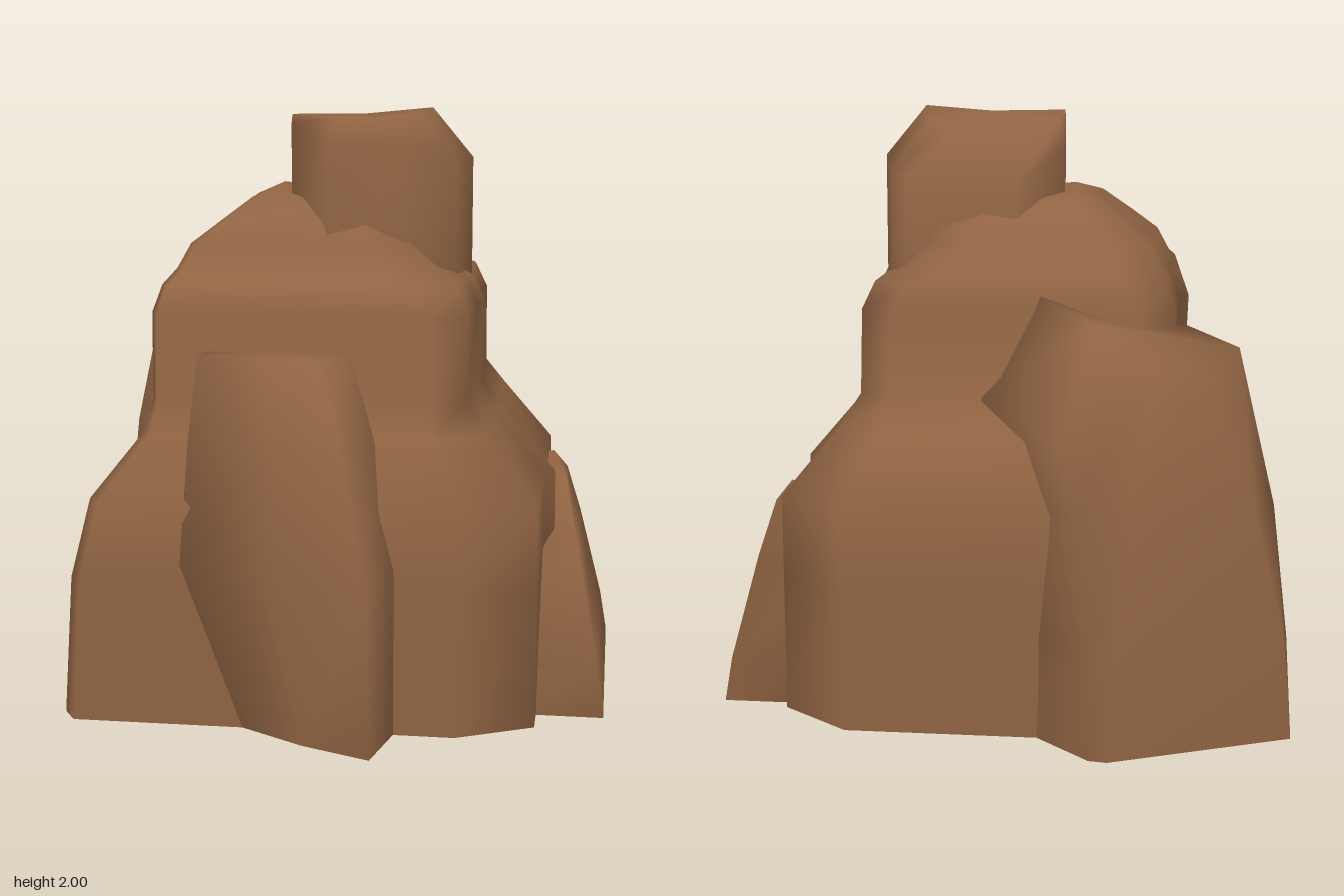
import * as THREE from 'three';

const rock = new THREE.MeshStandardMaterial({ color: 0x8f6342, side: THREE.DoubleSide });
rock.name = 'brown rock';

// Skin rings of [x, y, z] from bottom to top, closed by a fan to the peak; the base stays open
function loft(name, rings, peak) {
  const n = rings[0].length;
  const index = [];
  for (let r = 0; r < rings.length - 1; r++) {
    for (let i = 0; i < n; i++) {
      const j = (i + 1) % n;
      const a = r * n + i, b = r * n + j;
      index.push(a, b, b + n, a, b + n, a + n);
    }
  }
  const last = (rings.length - 1) * n;
  for (let i = 0; i < n; i++) index.push(last + i, last + (i + 1) % n, rings.length * n);

  const geo = new THREE.BufferGeometry();
  geo.setAttribute('position', new THREE.Float32BufferAttribute([...rings.flat(2), ...peak], 3));
  geo.setIndex(index);
  geo.computeVertexNormals();
  const mesh = new THREE.Mesh(geo, rock);
  mesh.name = name;
  return mesh;
}

const level = (y, points) => points.map(([x, z]) => [x, y, z]);

// Main mass: a chamfered outline stretched to the bounds of each level
function mainRock() {
  const outline = (k) => [
    [1 - 0.16 * k, 1], [1, 1 - 0.09 * k], [1, 0.58], [1.025, 0.53], [1, 0.47], [1, 0.125 * k],
    [1 - 0.15 * k, 0], [0.15 * k, 0], [0, 0.125 * k], [0, 0.46], [-0.03, 0.53], [0, 0.58],
    [0, 1 - 0.05 * k], [0.03 * k, 1],
  ];
  // y, x min, x max, z min, z max, chamfer
  const levels = [
    [0, -0.84, 0.73, -0.79, 0.73, 1],
    [0.47, -0.81, 0.73, -0.79, 0.73, 1],
    [0.74, -0.74, 0.73, -0.79, 0.73, 1],
    [0.96, -0.57, 0.55, -0.69, 0.61, 0.9],
    [1.06, -0.55, 0.49, -0.53, 0.57, 0.7],
    [1.34, -0.56, 0.49, -0.48, 0.52, 0.7],
    [1.43, -0.53, 0.45, -0.46, 0.5, 0.8],
    [1.47, -0.51, 0.36, -0.42, 0.36, 1],
    [1.55, -0.47, 0.28, -0.38, 0.32, 1],
    [1.62, -0.38, 0.22, -0.32, 0.28, 1],
    [1.7, -0.28, 0.08, -0.22, 0.18, 1],
  ];
  const rings = levels.map(([y, x0, x1, z0, z1, k]) =>
    outline(k).map(([u, v]) => [x0 + u * (x1 - x0), y, z0 + v * (z1 - z0)]));
  return loft('mainRock', rings, [-0.2, 1.74, -0.04]);
}

// Boulder on the summit: upright sides with an uneven rim
function summitBoulder() {
  const rim = [
    [-0.15, 1.95, 0.12], [0, 1.88, 0.3], [0.26, 1.88, 0.26], [0.42, 1.85, 0.12], [0.46, 1.83, -0.05],
    [0.42, 1.79, -0.2], [0.36, 1.77, -0.24], [-0.02, 1.74, -0.3], [-0.17, 1.87, -0.15],
  ];
  const base = rim.map(([x, , z]) => [x, 1.34, z]);
  const crown = [
    [-0.15, 1.98, 0.1], [0, 1.97, 0.14], [0.16, 1.97, 0.13], [0.28, 1.98, 0.06], [0.32, 2, -0.04],
    [0.3, 1.95, -0.08], [0.22, 1.93, -0.1], [0, 1.92, -0.1], [-0.14, 1.95, -0.04],
  ];
  return loft('summitBoulder', [base, rim, crown], [0.1, 1.98, 0.01]);
}

// Tall slab leaning on the front face
function frontButtress() {
  return loft('frontButtress', [
    level(0, [[-0.22, 0.73], [0, 0.87], [0.23, 0.97], [0.28, 0.72], [0.25, 0.4], [-0.2, 0.4]]),
    level(0.55, [[-0.42, 0.75], [-0.1, 0.87], [0.22, 0.97], [0.28, 0.72], [0.24, 0.4], [-0.4, 0.4]]),
    level(0.95, [[-0.4, 0.69], [-0.12, 0.78], [0.12, 0.85], [0.2, 0.62], [0.18, 0.4], [-0.38, 0.4]]),
    level(1.22, [[-0.38, 0.62], [-0.15, 0.67], [0.03, 0.7], [0.11, 0.57], [0.1, 0.4], [-0.36, 0.4]]),
  ], [-0.13, 1.22, 0.53]);
}

// Triangular fin on the left flank
function sideButtress() {
  // y, outer x, front z, back z
  const levels = [
    [0, 0.955, 0.47, -0.555], [0.15, 0.93, 0.39, -0.55], [0.49, 0.85, 0.08, -0.46],
    [0.67, 0.8, -0.2, -0.39],
  ];
  const rings = levels.map(([y, x, front, back]) =>
    level(y, [[0.5, front], [x, front], [x, back], [0.5, back]]));
  return loft('sideButtress', rings, [0.75, 0.735, -0.36]);
}

// Big leaning slab on the back corner: a ridge climbs to the middle and its inner flank falls away
function backButtress() {
  return loft('backButtress', [
    level(0, [[-0.84, -0.43], [-0.4, -0.3], [0.05, -0.6], [-0.32, -0.97], [-0.38, -0.98],
      [-0.96, -0.71], [-0.96, -0.65]]),
    level(0.33, [[-0.83, -0.42], [-0.4, -0.3], [0.05, -0.6], [-0.32, -0.96], [-0.38, -0.97],
      [-0.93, -0.71], [-0.94, -0.64]]),
    level(0.76, [[-0.76, -0.33], [-0.35, -0.28], [0.07, -0.56], [-0.26, -0.86], [-0.43, -0.89],
      [-0.83, -0.71], [-0.89, -0.62]]),
    [[-0.58, 1.28, -0.22], [-0.02, 1.44, -0.41], [0.1, 1.08, -0.5], [-0.2, 0.98, -0.79],
      [-0.52, 1.21, -0.79], [-0.66, 1.22, -0.72], [-0.77, 1.26, -0.56]],
  ], [-0.3, 1.33, -0.57]);
}

export function createModel() {
  const group = new THREE.Group();
  group.name = 'rockFormation';
  group.add(mainRock(), summitBoulder(), frontButtress(), sideButtress(), backButtress());
  return group;
}
